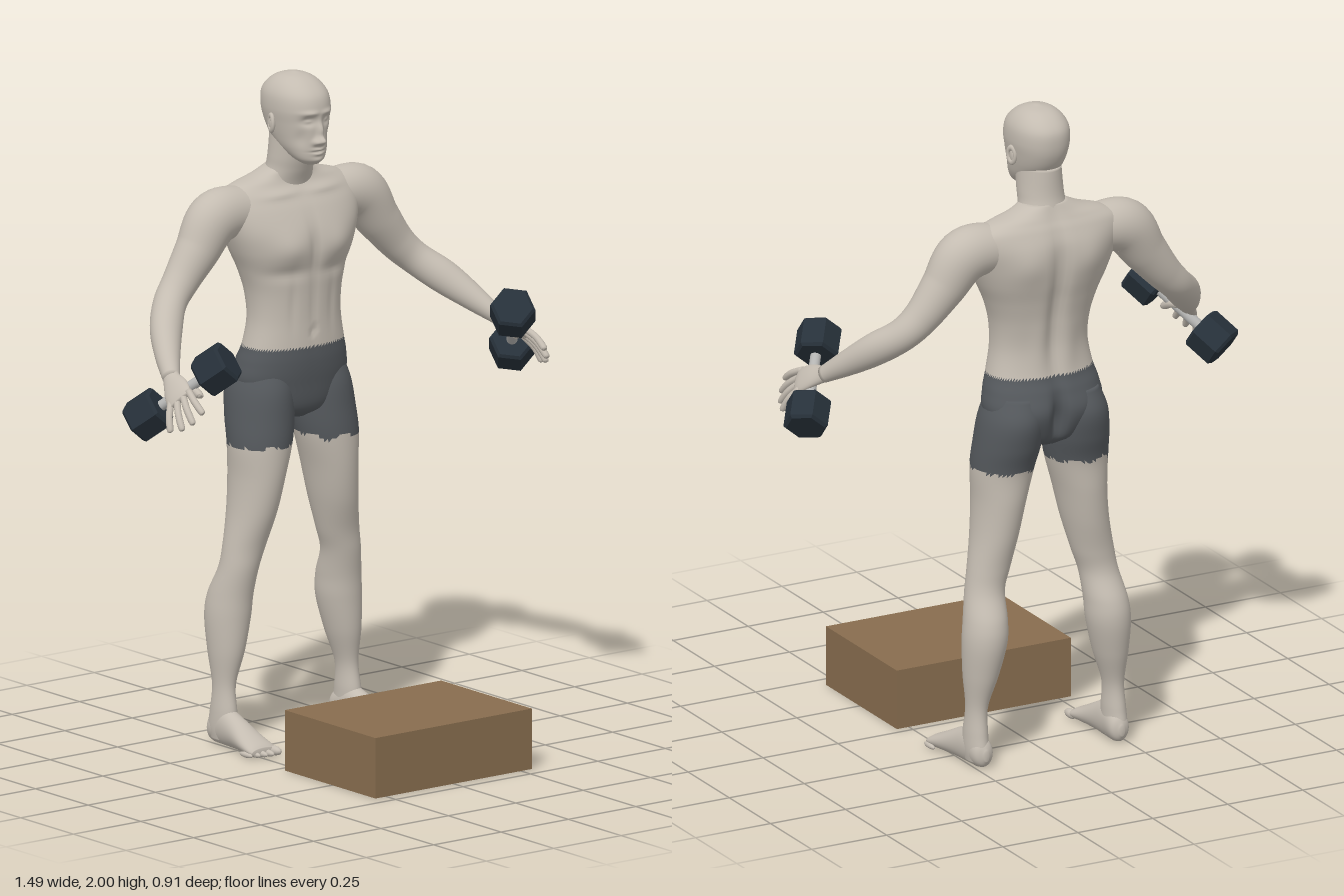
import * as THREE from 'three';
import { toCreasedNormals } from 'three/addons/utils/BufferGeometryUtils.js';

const V = (x, y, z) => new THREE.Vector3(x, y, z);
const X = V(1, 0, 0), Y = V(0, 1, 0), Z = V(0, 0, 1);

// Smooth skin through elliptical sections [x, y, z, a, b]; side = -1 mirrors it in x.
// axis fixes the ring plane; without it rings stand square to the path.
function loft(sections, { rows = 40, around = 32, axis, ref = Z, power = 2, side = 1, warp, paint } = {}) {
  const path = new THREE.CatmullRomCurve3(sections.map(s => V(s[0], s[1], s[2])), false, 'catmullrom');
  const size = new THREE.CatmullRomCurve3(sections.map(s => V(s[3], s[4], 0)), false, 'catmullrom');
  const pos = [], lists = [[], []];
  const put = p => { if (warp) warp(p); pos.push(p.x * side, p.y, p.z); };
  const round = c => Math.sign(c) * Math.abs(c) ** (2 / power);
  for (let i = 0; i <= rows; i++) {
    const t = i / rows, c = path.getPoint(t), r = size.getPoint(t);
    const T = axis || path.getTangent(t);
    const u = T.clone().cross(ref).normalize(), v = u.clone().cross(T);
    for (let j = 0; j < around; j++) {
      const a = j / around * Math.PI * 2;
      put(c.clone().addScaledVector(u, r.x * round(Math.cos(a))).addScaledVector(v, r.y * round(Math.sin(a))));
    }
  }
  put(path.getPoint(0));
  put(path.getPoint(1));
  const tri = (a, b, c) => {
    const mid = k => (pos[a * 3 + k] + pos[b * 3 + k] + pos[c * 3 + k]) / 3;
    const list = lists[paint ? paint(mid(0), mid(1), mid(2)) : 0];
    if (side > 0) list.push(a, b, c); else list.push(a, c, b);
  };
  const start = (rows + 1) * around, end = start + 1;
  for (let j = 0; j < around; j++) {
    const k = (j + 1) % around;
    for (let i = 0; i < rows; i++) {
      const a = i * around + j, b = i * around + k;
      tri(a, a + around, b);
      tri(b, a + around, b + around);
    }
    tri(start, j, k);
    tri(end, rows * around + k, rows * around + j);
  }
  const g = new THREE.BufferGeometry();
  g.setAttribute('position', new THREE.Float32BufferAttribute(pos, 3));
  g.setIndex([...lists[0], ...lists[1]]);
  if (paint) {
    g.addGroup(0, lists[0].length, 0);
    g.addGroup(lists[0].length, lists[1].length, 1);
  }
  g.computeVertexNormals();
  return g;
}

// Horizontal section from its height, centre, half width, front z and back z
const slab = ([y, x, rx, zf, zb]) => [x, y, (zf + zb) / 2, rx, (zf - zb) / 2];

// Mirrored soft bumps [x, y, spreadX, spreadY, dz, face], face +1 front or -1 back
const sculpt = (bumps, mid) => p => {
  const x = Math.abs(p.x), y = p.y, z = p.z;
  for (const [bx, by, sx, sy, dz, face] of bumps) {
    const w = THREE.MathUtils.smoothstep((z - mid) * face, 0, 0.06);
    p.z += dz * w * Math.exp(-(((x - bx) / sx) ** 2) - ((y - by) / sy) ** 2);
  }
};

export function createModel() {
  const model = new THREE.Group();
  const material = (name, color) => Object.assign(new THREE.MeshStandardMaterial({ color }), { name });
  const skin = material('skin', 0xc4bcb1);
  const cloth = material('shorts grey', 0x55595d);
  const iron = material('dark iron', 0x27313a);
  const steel = material('handle steel', 0xb4b4b2);
  const wood = material('box brown', 0x876c4e);
  const add = (name, geometry, mat, parent = model) => {
    const m = new THREE.Mesh(geometry, mat);
    m.name = name;
    parent.add(m);
    return m;
  };

  // Step box
  add('stepBox', new THREE.BoxGeometry(0.58, 0.182, 0.43), wood).position.set(0, 0.091, 0.24);

  // Torso with the upper part of the shorts
  add('torso', loft([
    [0.965, 0, 0.04, -0.27, -0.38], [1.0, 0, 0.14, -0.228, -0.42], [1.08, 0, 0.185, -0.212, -0.443],
    [1.14, 0, 0.18, -0.205, -0.432], [1.19, 0, 0.166, -0.205, -0.412], [1.27, 0, 0.152, -0.207, -0.402],
    [1.35, 0, 0.157, -0.205, -0.412], [1.42, 0, 0.178, -0.2, -0.427], [1.48, 0, 0.205, -0.195, -0.441],
    [1.54, 0, 0.228, -0.202, -0.447], [1.6, 0, 0.245, -0.23, -0.445], [1.645, 0, 0.24, -0.262, -0.43],
    [1.672, 0, 0.19, -0.28, -0.415], [1.692, 0, 0.12, -0.285, -0.405], [1.715, 0, 0.065, -0.28, -0.395],
  ].map(slab), {
    rows: 90, around: 96, axis: Y, power: 2.25,
    warp: sculpt([
      [0.085, 1.49, 0.06, 0.045, 0.013, 1], [0.09, 1.415, 0.07, 0.02, -0.007, 1],
      [0, 1.49, 0.016, 0.08, -0.009, 1], [0, 1.32, 0.012, 0.1, -0.005, 1],
      [0, 1.235, 0.009, 0.009, -0.01, 1], [0.07, 1.32, 0.012, 0.08, -0.004, 1],
      [0.08, 1.645, 0.07, 0.012, 0.008, 1], [0, 1.42, 0.024, 0.2, 0.022, -1],
      [0.1, 1.55, 0.06, 0.06, -0.012, -1], [0.05, 1.27, 0.03, 0.08, -0.006, -1],
      [0, 1.06, 0.02, 0.07, 0.035, -1], [0.08, 1.07, 0.05, 0.05, -0.008, -1],
    ], -0.32),
    paint: (x, y) => (y < 1.188 ? 1 : 0),
  }), [skin, cloth]);

  // Neck
  add('neck', loft([
    [1.6, 0, 0.1, -0.285, -0.425], [1.66, 0, 0.085, -0.275, -0.41], [1.71, 0, 0.071, -0.255, -0.395],
    [1.75, 0, 0.068, -0.24, -0.388], [1.82, 0, 0.064, -0.22, -0.385],
  ].map(slab), { axis: Y }), skin);

  // Head with brow, eyes, nose, lips and chin
  const head = new THREE.Group();
  head.name = 'head';
  model.add(head);
  add('skull', loft([
    [1.738, 0, 0.024, -0.2, -0.25], [1.755, 0, 0.046, -0.187, -0.285], [1.785, 0, 0.063, -0.183, -0.34],
    [1.82, 0, 0.073, -0.181, -0.38], [1.86, 0, 0.081, -0.179, -0.403], [1.9, 0, 0.087, -0.177, -0.412],
    [1.94, 0, 0.084, -0.187, -0.409], [1.97, 0, 0.068, -0.215, -0.386], [1.99, 0, 0.042, -0.25, -0.352],
    [2.0, 0, 0.006, -0.29, -0.305],
  ].map(slab), {
    rows: 100, around: 128, axis: Y, power: 2.2,
    warp: sculpt([
      [0, 1.812, 0.013, 0.013, 0.026, 1], [0, 1.842, 0.009, 0.024, 0.015, 1],
      [0.016, 1.808, 0.008, 0.008, 0.01, 1], [0.033, 1.872, 0.02, 0.013, -0.013, 1],
      [0.033, 1.871, 0.012, 0.006, 0.007, 1], [0.032, 1.896, 0.024, 0.007, 0.006, 1],
      [0, 1.786, 0.018, 0.005, 0.008, 1], [0, 1.772, 0.016, 0.005, 0.007, 1],
      [0, 1.779, 0.025, 0.002, -0.005, 1], [0, 1.752, 0.02, 0.01, 0.006, 1],
      [0.05, 1.82, 0.014, 0.025, -0.006, 1],
    ], -0.28),
  }), skin, head);

  // Shorts legs and bare legs share one skin with an uneven hem
  const legSections = [
    [0.015, 0.231, 0.028, -0.3, -0.39], [0.05, 0.231, 0.033, -0.29, -0.4], [0.1, 0.23, 0.033, -0.292, -0.392],
    [0.18, 0.227, 0.031, -0.303, -0.385], [0.28, 0.216, 0.051, -0.287, -0.41], [0.38, 0.206, 0.065, -0.28, -0.428],
    [0.45, 0.2, 0.064, -0.275, -0.42], [0.53, 0.189, 0.059, -0.262, -0.385], [0.6, 0.172, 0.064, -0.252, -0.382],
    [0.7, 0.15, 0.069, -0.226, -0.395], [0.8, 0.135, 0.077, -0.211, -0.405], [0.9, 0.123, 0.093, -0.206, -0.411],
    [0.98, 0.113, 0.097, -0.209, -0.435], [1.06, 0.105, 0.092, -0.215, -0.448], [1.13, 0.095, 0.075, -0.235, -0.425],
  ].map(slab);

  // Arm from inside the shoulder to the wrist
  const armSections = [
    [0.15, 1.6, -0.34, 0.07, 0.07], [0.265, 1.588, -0.34, 0.082, 0.075], [0.335, 1.5, -0.336, 0.068, 0.064],
    [0.4, 1.42, -0.33, 0.055, 0.053], [0.455, 1.365, -0.31, 0.049, 0.05], [0.515, 1.31, -0.25, 0.05, 0.047],
    [0.565, 1.255, -0.18, 0.039, 0.038], [0.607, 1.203, -0.108, 0.024, 0.026],
  ];

  // Foot from heel to the ball
  const footSections = [
    [0.226, 0.04, -0.405, 0.008, 0.015], [0.227, 0.045, -0.385, 0.031, 0.042], [0.23, 0.055, -0.33, 0.035, 0.058],
    [0.233, 0.047, -0.27, 0.039, 0.048], [0.237, 0.03, -0.2, 0.047, 0.031], [0.238, 0.02, -0.155, 0.05, 0.02],
    [0.238, 0.016, -0.138, 0.044, 0.012],
  ];

  // Dumbbell profile and the direction of its handle
  const profile = [[0, -0.05], [0.058, -0.05], [0.067, -0.042], [0.067, 0.042], [0.058, 0.05], [0, 0.05]];
  const hexHead = toCreasedNormals(
    new THREE.LatheGeometry(profile.map(p => new THREE.Vector2(...p)), 6), 0.3);
  const inner = V(0.55, 1.25, 0.032), outer = V(0.675, 1.1, -0.132);
  const grip = outer.clone().sub(inner).normalize();

  const digit = (points, r, side) => loft(
    points.map((p, i) => [p.x, p.y, p.z, r * [1, 1, 0.95, 0.5][i], r * [1, 1, 0.95, 0.5][i]]),
    { rows: 14, around: 10, ref: grip, side });

  for (const side of [1, -1]) {
    const word = side > 0 ? 'left' : 'right';
    const part = name => word + name;

    add(part('Leg'), loft(legSections, {
      rows: 110, around: 48, axis: Y, side,
      paint: (x, y, z) => (y > 0.9 + 0.006 * Math.sin(x * 70) + 0.005 * Math.sin(z * 90) ? 1 : 0),
    }), [skin, cloth]);

    // Foot and toes
    const foot = new THREE.Group();
    foot.name = part('Foot');
    model.add(foot);
    add('sole', loft(footSections, { axis: Z, ref: Y, side, warp: p => { p.y = Math.max(p.y, 0.003); } }), skin, foot);
    for (let i = 0; i < 5; i++) {
      const toe = add('toe', new THREE.SphereGeometry(1, 14, 10), skin, foot);
      const r = i ? 0.0105 - i * 0.0005 : 0.014;
      toe.scale.set(r, r, 0.03);
      toe.position.set(side * (0.2 + i * 0.0205 + (i ? 0.003 : 0)), r + 0.001, -0.139 - i * i * 0.0016);
    }

    add(part('Arm'), loft(armSections, { rows: 60, side }), skin);

    // Open hand lying over the handle
    const hand = new THREE.Group();
    hand.name = part('Hand');
    model.add(hand);
    add('palm', loft([
      [0.597, 1.215, -0.125, 0.021, 0.025], [0.61, 1.2, -0.1, 0.019, 0.029], [0.625, 1.186, -0.065, 0.017, 0.04],
      [0.638, 1.17, -0.035, 0.014, 0.043], [0.644, 1.16, -0.016, 0.009, 0.038],
    ], { ref: grip, rows: 20, side }), skin, hand);
    [0.92, 1.03, 1, 0.82].forEach((reach, i) => {
      const t = -0.033 + i * 0.022;
      const at = f => V(0.638, 1.168, -0.028).addScaledVector(V(0.027, -0.073, 0.073), f * reach)
        .addScaledVector(grip, t * (1 + 0.8 * f)).addScaledVector(V(0.76, 0.59, 0.04), 0.03 * f * (1 - f));
      add('finger', digit([at(0), at(0.5), at(0.92), at(1)], 0.0105, side), skin, hand);
    });
    add('thumb', digit([V(0.612, 1.195, -0.085), V(0.592, 1.19, -0.04), V(0.588, 1.172, 0.0), V(0.59, 1.167, 0.008)],
      0.0125, side), skin, hand);

    // Dumbbell
    const dumbbell = new THREE.Group();
    dumbbell.name = part('Dumbbell');
    dumbbell.position.copy(inner).add(outer).multiplyScalar(0.5);
    dumbbell.position.x *= side;
    dumbbell.quaternion.setFromUnitVectors(Y, V(grip.x * side, grip.y, grip.z));
    model.add(dumbbell);
    const half = inner.distanceTo(outer) / 2;
    add('handle', new THREE.CylinderGeometry(0.016, 0.016, half * 2, 20), steel, dumbbell);
    for (const end of [1, -1]) add('weight', hexHead, iron, dumbbell).position.y = end * half;

    // Ear
    const ear = add(part('Ear'), new THREE.TorusGeometry(0.018, 0.007, 10, 24), skin, head);
    ear.scale.set(0.8, 1.25, 0.9);
    ear.position.set(side * 0.086, 1.856, -0.3);
    ear.rotation.y = side * (Math.PI / 2 + 0.3);
    const lobe = add('innerEar', new THREE.SphereGeometry(1, 16, 12), skin, head);
    lobe.scale.set(0.007, 0.022, 0.014);
    lobe.position.set(side * 0.083, 1.854, -0.3);
  }
  return model;
}
